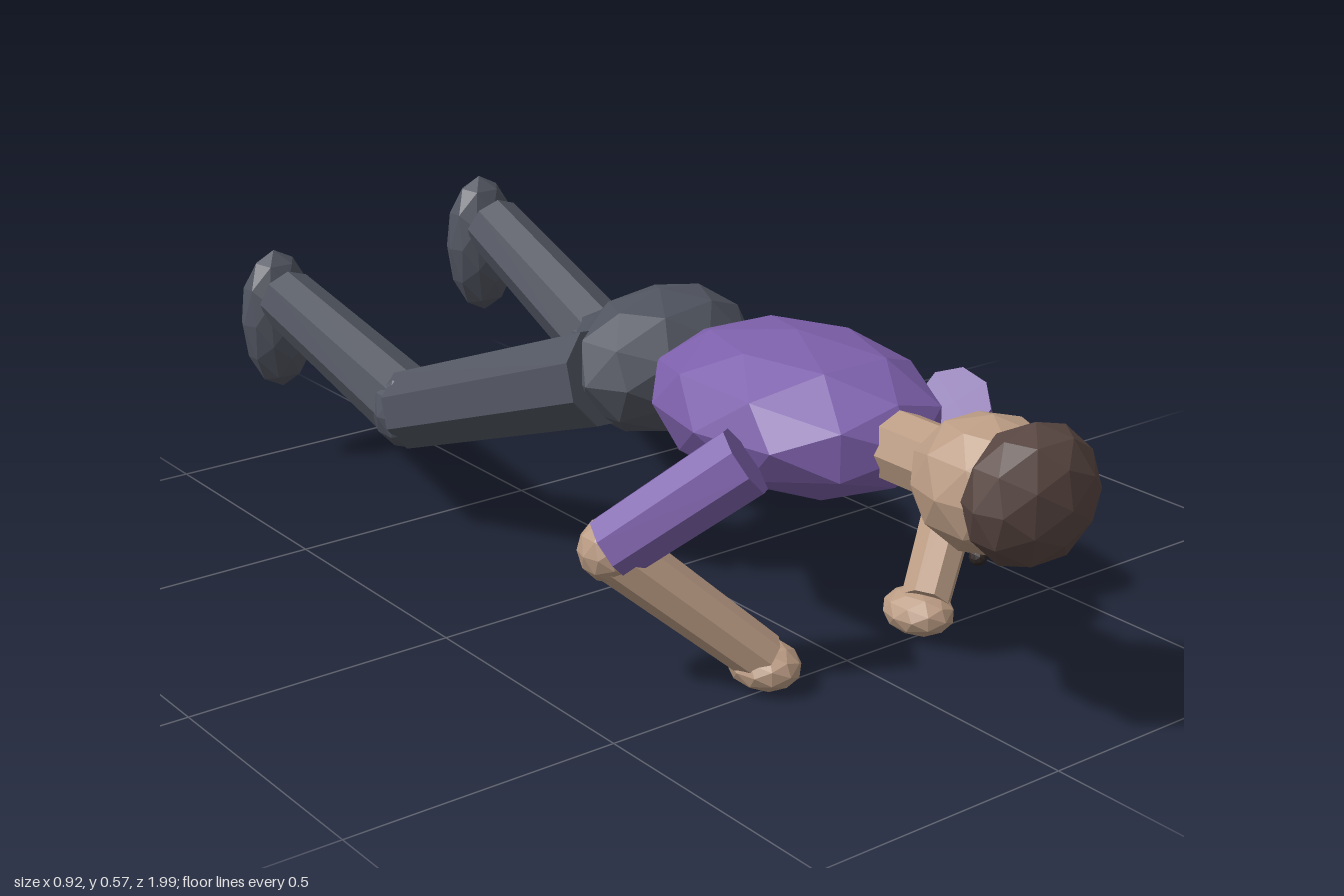
import * as THREE from 'three';

const material = (name, color) => {
  const m = new THREE.MeshStandardMaterial({ color, flatShading: true });
  m.name = name;
  return m;
};

export function createModel() {
  const skin = material('skin', 0xbb9c84);
  const shirt = material('purple shirt', 0x7d60ab);
  const trousers = material('charcoal trousers', 0x50545f);
  const hairBrown = material('brown hair', 0x584641);
  const eyeDark = material('dark eye', 0x2e2625);

  const figure = new THREE.Group();
  figure.name = 'proneFigure';

  // Faceted ellipsoid
  const blob = (name, mat, pos, radii, rot = [0, 0, 0]) => {
    const mesh = new THREE.Mesh(new THREE.IcosahedronGeometry(1, 1), mat);
    mesh.name = name;
    mesh.position.set(...pos);
    mesh.scale.set(...radii);
    mesh.rotation.set(...rot);
    figure.add(mesh);
  };

  // Eight-sided tapered limb between two points
  const limb = (name, mat, from, to, rFrom, rTo) => {
    const a = new THREE.Vector3(...from), b = new THREE.Vector3(...to);
    const dir = b.clone().sub(a);
    const mesh = new THREE.Mesh(new THREE.CylinderGeometry(rTo, rFrom, dir.length(), 8), mat);
    mesh.name = name;
    mesh.position.copy(a).add(b).multiplyScalar(0.5);
    mesh.quaternion.setFromUnitVectors(new THREE.Vector3(0, 1, 0), dir.normalize());
    figure.add(mesh);
  };

  // Head and trunk, lying face down along z
  blob('head', skin, [0, 0.43, 0.82], [0.12, 0.115, 0.138]);
  blob('hair', hairBrown, [0, 0.44, 0.91], [0.126, 0.119, 0.087]);
  limb('neck', skin, [0, 0.43, 0.56], [0, 0.43, 0.74], 0.062, 0.062);
  blob('torso', shirt, [0, 0.427, 0.35], [0.222, 0.137, 0.3]);
  blob('hips', trousers, [-0.02, 0.425, 0], [0.195, 0.133, 0.143], [0, 0.15, 0.05]);

  // Arms and eyes mirror across x
  for (const [side, s] of [['left', 1], ['right', -1]]) {
    const elbow = [s * 0.403, 0.27, 0.365];
    blob(side + 'Eye', eyeDark, [s * 0.044, 0.326, 0.845], [0.015, 0.015, 0.015]);
    limb(side + 'UpperArm', shirt, [s * 0.232, 0.425, 0.5], elbow, 0.064, 0.06);
    blob(side + 'Elbow', skin, elbow, [0.057, 0.057, 0.057]);
    limb(side + 'Forearm', skin, elbow, [s * 0.185, 0.058, 0.495], 0.052, 0.045);
    blob(side + 'Hand', skin, [s * 0.177, 0.043, 0.488], [0.06, 0.042, 0.07]);
  }

  // Legs are posed differently: hip, knee, ankle, foot centre
  const legs = [
    ['left', [0.09, 0.43, -0.01], [0.157, 0.3, -0.42], [0.142, 0.475, -0.8], [0.142, 0.423, -0.842]],
    ['right', [-0.155, 0.415, 0], [-0.275, 0.25, -0.46], [-0.297, 0.37, -0.9], [-0.297, 0.316, -0.94]],
  ];
  for (const [side, hip, knee, ankle, foot] of legs) {
    limb(side + 'Thigh', trousers, hip, knee, 0.092, 0.08);
    blob(side + 'Knee', trousers, knee, [0.078, 0.078, 0.078]);
    limb(side + 'Shin', trousers, knee, ankle, 0.073, 0.062);
    blob(side + 'Foot', trousers, foot, [0.08, 0.145, 0.058], [-0.03, 0, 0]);
  }
  return figure;
}
